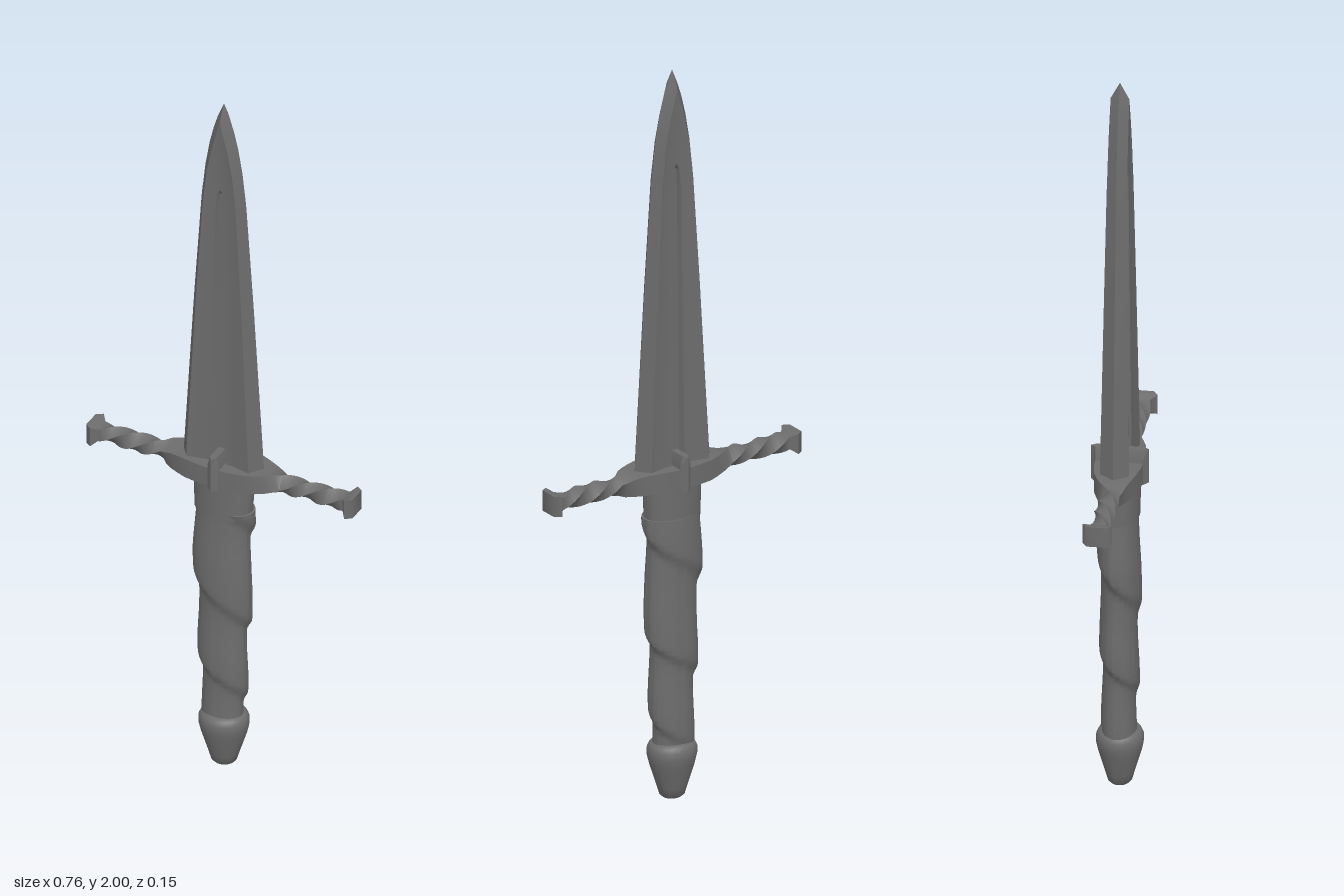
import * as THREE from 'three';
import { toCreasedNormals } from 'three/addons/utils/BufferGeometryUtils.js';

const material = new THREE.MeshStandardMaterial({ color: 0x6c6c6c });

// Joins rings of [x, y, z] points (running from +x towards +z, stacked upwards) and caps both ends.
function loft(rings, crease) {
  const n = rings[0].length, last = rings.length - 1;
  const pos = rings.flat(2), index = [];
  for (let i = 0; i < last; i++) {
    for (let j = 0; j < n; j++) {
      const k = (j + 1) % n;
      const a = i * n + j, b = i * n + k, c = b + n, d = a + n;
      index.push(a, d, b, b, d, c);
    }
  }
  for (const row of [0, last]) {
    const centre = pos.length / 3;
    pos.push(0, rings[row][0][1], 0);
    for (let j = 0; j < n; j++) {
      const a = row * n + j, b = row * n + (j + 1) % n;
      if (row === 0) index.push(centre, a, b);
      else index.push(centre, b, a);
    }
  }
  const geo = new THREE.BufferGeometry();
  geo.setAttribute('position', new THREE.Float32BufferAttribute(pos, 3));
  geo.setIndex(index);
  return toCreasedNormals(geo, crease);
}

function part(name, geo) {
  const mesh = new THREE.Mesh(geo, material);
  mesh.name = name;
  return mesh;
}

// Mirrors a quarter section, listed from the edge to the middle, into a full ring.
function mirroredRing(quarter, y) {
  const mid = quarter.length - 1;
  const half = [...quarter, ...quarter.slice(0, mid).reverse().map(([x, z]) => [-x, z])];
  const back = half.slice(1, -1).reverse().map(([x, z]) => [x, -z]);
  return [...half, ...back].map(([x, z]) => [x, y, z]);
}

function ellipseRing(y, rx, rz, n = 24) {
  return Array.from({ length: n }, (_, j) => {
    const a = j / n * Math.PI * 2;
    return [rx * Math.cos(a), y, rz * Math.sin(a)];
  });
}

// Blade rows: height, half width, bevel x, half thickness, hollow, groove half width, groove depth factor
function bladeGeometry() {
  const rows = [
    [0.88, 0.117, 0.091, 0.038, 0.72, 0.021, 0.4],
    [1.40, 0.085, 0.065, 0.031, 0.72, 0.017, 0.4],
    [1.70, 0.064, 0.047, 0.027, 0.74, 0.013, 0.4],
    [1.73, 0.061, 0.044, 0.0265, 0.75, 0.009, 0.45],
    [1.745, 0.059, 0.042, 0.0262, 0.76, 0.002, 1],
    [1.80, 0.053, 0.036, 0.0255, 0.8, 0, 1],
    [1.87, 0.041, 0.022, 0.025, 0.88, 0, 1],
    [1.92, 0.029, 0.009, 0.0245, 0.96, 0, 1],
    [1.955, 0.018, 0, 0.024, 1, 0, 1],
    [2.0, 0, 0, 0, 1, 0, 1],
  ];
  return loft(rows.map(([y, w, b, t, m, f, d]) => mirroredRing([
    [w, 0], [b, t], [Math.max(b * 0.4, f), m * t], [f, m * t], [f * 0.7, m * t * d], [0, m * t * d],
  ], y)), 0.25);
}

// One arm of the guard: tapered middle, twisted bar and flared end, turned to run along +x
function guardArmGeometry() {
  const rows = [
    [0, 0.0275, 0.063, 0], [0.04, 0.0275, 0.06, 0], [0.085, 0.0275, 0.053, 0],
    [0.11, 0.0265, 0.044, 0.03], [0.135, 0.025, 0.034, 0.12], [0.155, 0.023, 0.026, 0.3],
  ];
  const steps = 36, turns = Math.PI * 1.5;
  for (let i = 0; i <= steps; i++) {
    rows.push([0.17 + 0.176 * i / steps, 0.021, 0.017, 0.55 + (turns - 0.55) * i / steps]);
  }
  rows.push([0.35, 0.021, 0.018, turns], [0.363, 0.038, 0.027, turns], [0.38, 0.026, 0.028, turns]);
  const rings = rows.map(([s, hy, hz, turn]) =>
    [[1, -1], [1, 1], [-1, 1], [-1, -1]].map(([u, v]) => {
      const x = u * hy, z = v * hz, c = Math.cos(turn), q = Math.sin(turn);
      return [x * c - z * q, s, x * q + z * c];
    }));
  return loft(rings, 1.0).rotateZ(-Math.PI / 2);
}

// Flattened grip wound by one continuous spiral swelling, tighter towards the pommel
function gripGeometry() {
  const rings = [], n = 48, rows = 90;
  for (let i = 0; i <= rows; i++) {
    const v = i / rows, y = 0.14 + 0.64 * v;
    const rx = 0.054 + 0.023 * Math.min(1, v * 1.3);
    const rz = 0.042 + 0.009 * Math.min(1, v * 1.3);
    const wind = (y - 0.45) / (y > 0.45 ? 0.3 : 0.22);
    rings.push(ellipseRing(y, rx, rz, n).map(([x, h, z], j) => {
      let p = wind - j / n;
      p -= Math.floor(p);
      const swell = p < 0.85
        ? 0.5 + 0.5 * Math.cos(p / 0.85 * Math.PI)
        : 0.5 - 0.5 * Math.cos((p - 0.85) / 0.15 * Math.PI);
      const k = 0.93 + 0.19 * swell;
      return [x * k, h, z * k];
    }));
  }
  return loft(rings, 0.7);
}

export function createModel() {
  const model = new THREE.Group();
  model.name = 'dagger';
  model.add(part('blade', bladeGeometry()));

  // Guard arms and the upright ridge through the middle
  const guard = new THREE.Group();
  guard.name = 'guard';
  guard.position.y = 0.893;
  const arm = guardArmGeometry();
  for (const side of [0, 1]) {
    const mesh = part(side ? 'rightGuardArm' : 'leftGuardArm', arm);
    mesh.rotation.y = side * Math.PI;
    guard.add(mesh);
  }
  const ridge = [[-0.033, 0.016], [0.035, 0.016], [0.063, 0.009]].map(([y, w]) =>
    mirroredRing([[w, 0], [w, 0.061], [0, 0.074]], y));
  guard.add(part('guardRidge', loft(ridge, 0.3)));
  model.add(guard);

  // Collar, grip and pommel
  model.add(part('collar', loft([
    ellipseRing(0.765, 0.08, 0.051, 32), ellipseRing(0.87, 0.083, 0.053, 32),
  ], 0.7)));
  model.add(part('grip', gripGeometry()));
  const pommel = [
    [0, 0.027], [0.007, 0.034], [0.03, 0.041], [0.09, 0.06], [0.115, 0.066],
    [0.135, 0.066], [0.147, 0.06], [0.153, 0.05],
  ].map(([y, r]) => ellipseRing(y, r, r * 0.92));
  model.add(part('pommel', loft(pommel, 0.7)));
  return model;
}
